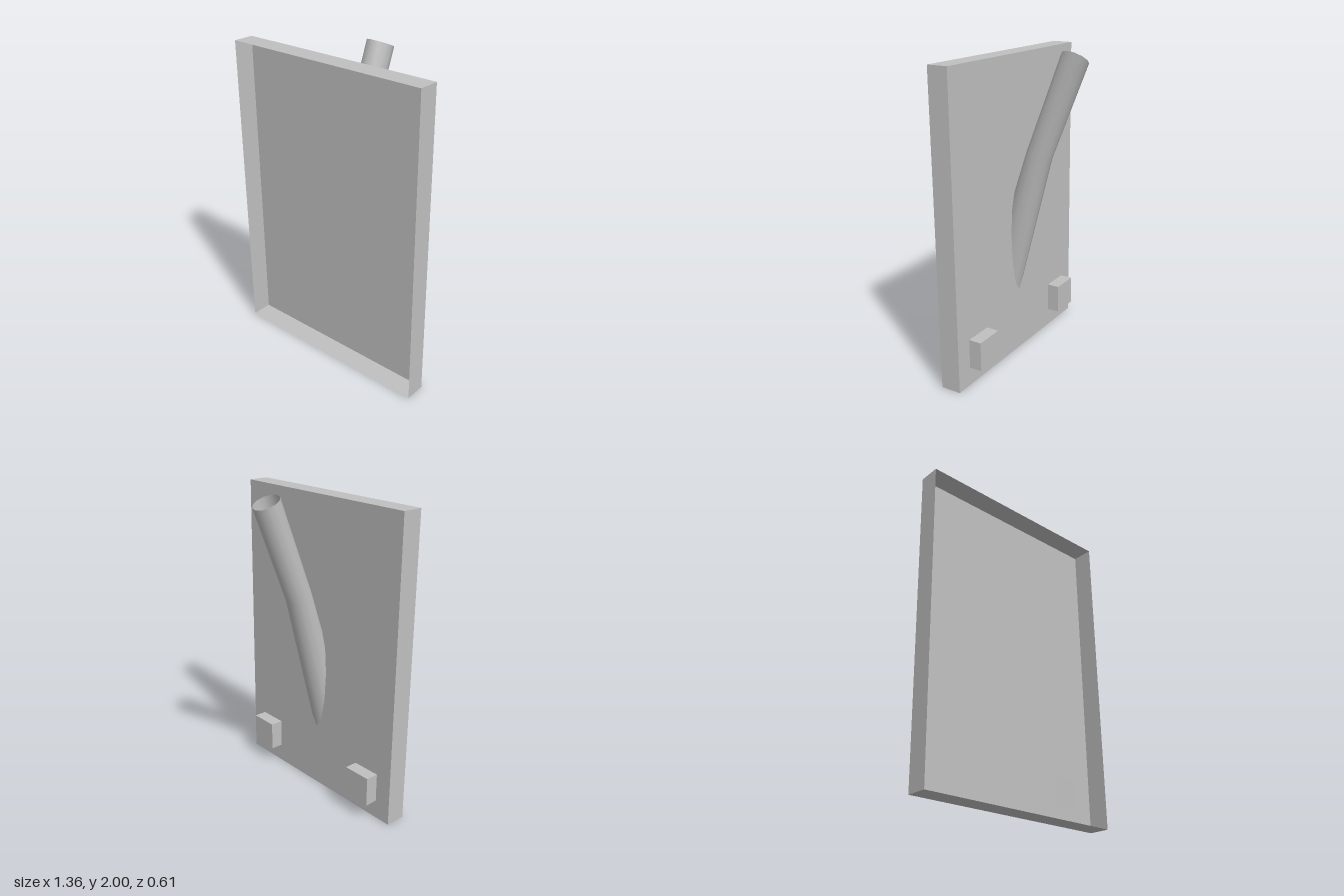
import * as THREE from 'three';

export function createModel() {
  const model = new THREE.Group();
  const grey = new THREE.MeshStandardMaterial({ color: 0xc0c0c0, side: THREE.DoubleSide });
  grey.name = 'plain grey';

  const add = (name, geometry, x = 0, y = 0, z = 0) => {
    const mesh = new THREE.Mesh(geometry, grey);
    mesh.name = name;
    mesh.position.set(x, y, z);
    model.add(mesh);
  };

  // Shallow tray: a box shell with its front face (indices 24 to 29) left out
  const tray = new THREE.BoxGeometry(1.36, 1.97, 0.133);
  tray.setIndex([...tray.index.array].filter((_, i) => i < 24 || i > 29));
  tray.clearGroups();
  add('tray', tray, 0, 0.985, 0.2385);

  // Two square spacer blocks low on the back
  for (const side of [-1, 1]) {
    add(side < 0 ? 'rightBlock' : 'leftBlock',
      new THREE.BoxGeometry(0.19, 0.19, 0.084), side * 0.473, 0.215, 0.13);
  }

  // Bent pipe: cut flush with the tray back, kinked halfway, open at the top
  const sides = 12;
  const rings = [
    (c) => [0.83 + 0.36 * c - 0.04 * c * c, 0.172],
    (c) => [1.365 + 0.025 * c, 0.0125 + 0.0775 * c],
    (c) => [1.965 + 0.035 * c, -0.226 + 0.078 * c],
  ];
  const positions = [];
  const index = [];
  rings.forEach((ring, i) => {
    for (let j = 0; j < sides; j++) {
      const angle = (j / sides) * Math.PI * 2;
      positions.push(0.084 * Math.sin(angle), ...ring(Math.cos(angle)));
      if (i === 0) continue;
      const next = (j + 1) % sides;
      const low = (i - 1) * sides;
      const high = i * sides;
      index.push(low + j, low + next, high + j, low + next, high + next, high + j);
    }
  });
  const pipe = new THREE.BufferGeometry();
  pipe.setAttribute('position', new THREE.Float32BufferAttribute(positions, 3));
  pipe.setIndex(index);
  pipe.computeVertexNormals();
  add('pipe', pipe);

  return model;
}
